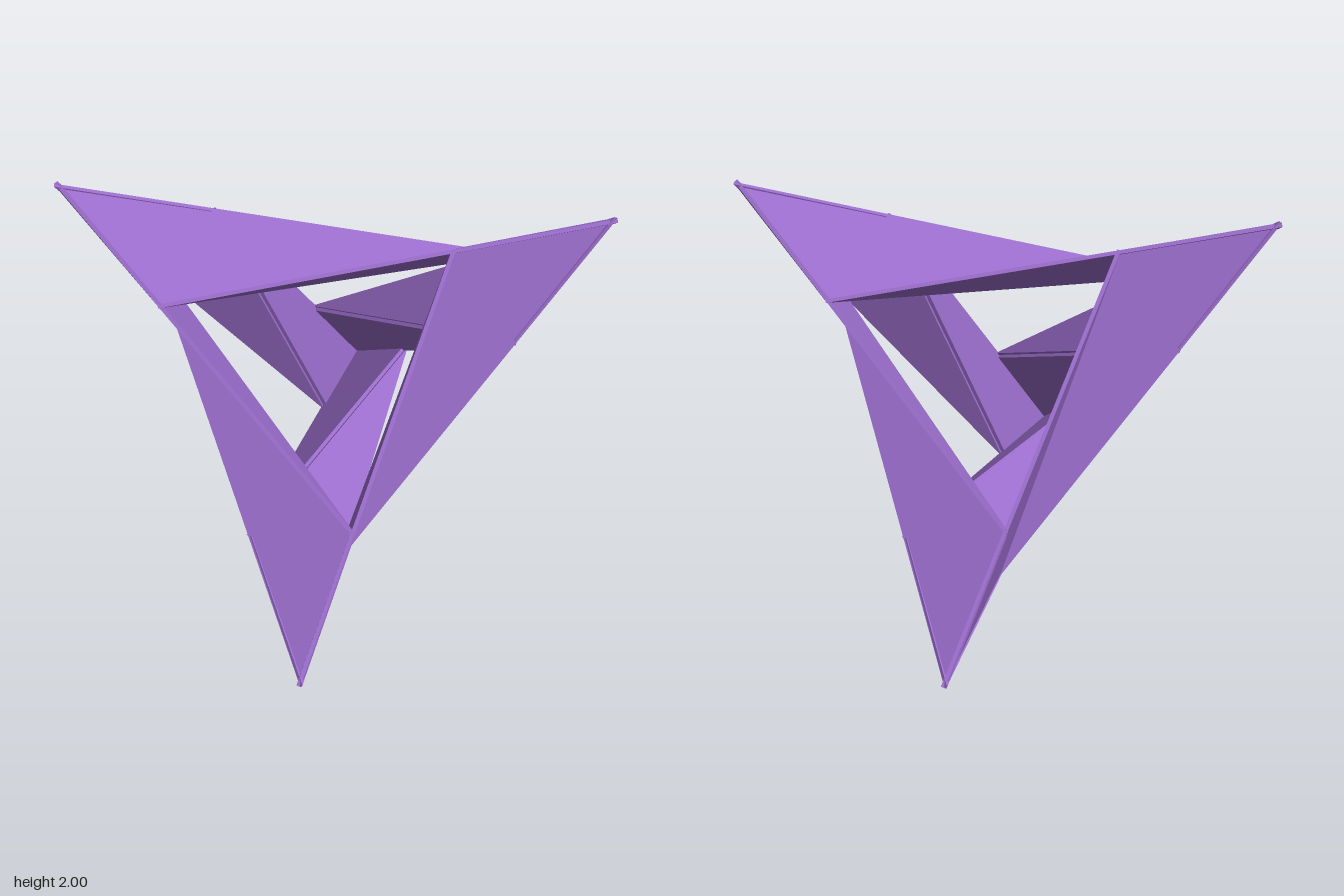
import * as THREE from 'three';

const THICKNESS = 0.02;

// Thin triangular plate: outer face a-b-c (counter-clockwise), thickened inwards.
function plateGeometry(a, b, c, thickness) {
  const normal = new THREE.Triangle(a, b, c).getNormal(new THREE.Vector3());
  const outer = [a, b, c];
  const inner = outer.map((p) => p.clone().addScaledVector(normal, -thickness));
  const points = [...outer, inner[0], inner[2], inner[1]];
  for (let i = 0; i < 3; i++) {
    const j = (i + 1) % 3;
    points.push(outer[i], inner[i], inner[j], outer[i], inner[j], outer[j]);
  }
  const geometry = new THREE.BufferGeometry().setFromPoints(points);
  geometry.computeVertexNormals();
  return geometry;
}

export function createModel() {
  const model = new THREE.Group();
  model.name = 'foldedTetrahedron';
  const material = new THREE.MeshStandardMaterial({ color: 0x9b6dcc, flatShading: true });

  // One plate runs from a tip of the tetrahedron down to the valley fold.
  const tip = new THREE.Vector3(-0.9876, 0.9876, 0.9876);
  const foldLeft = new THREE.Vector3(-0.825, 0.36, 0.525);
  const foldRight = new THREE.Vector3(0.825, -0.36, 0.525);
  const geometry = plateGeometry(tip, foldLeft, foldRight, THICKNESS);

  const body = new THREE.Group();
  body.name = 'body';
  body.position.y = 1;
  model.add(body);

  // Three pairs of opposite struts, turned about the cube diagonal.
  const diagonal = new THREE.Vector3(1, 1, 1).normalize();
  for (let k = 0; k < 3; k++) {
    const pair = new THREE.Group();
    pair.name = 'strutPair' + (k + 1);
    pair.quaternion.setFromAxisAngle(diagonal, (k * Math.PI * 2) / 3);
    body.add(pair);

    for (let side = 0; side < 2; side++) {
      const strut = new THREE.Group();
      strut.name = 'foldedStrut';
      strut.rotation.y = side * Math.PI;
      pair.add(strut);

      // Two plates meet at the fold of each strut.
      for (let half = 0; half < 2; half++) {
        const plate = new THREE.Mesh(geometry, material);
        plate.name = 'trianglePlate';
        plate.rotation.z = half * Math.PI;
        strut.add(plate);
      }
    }
  }
  return model;
}
